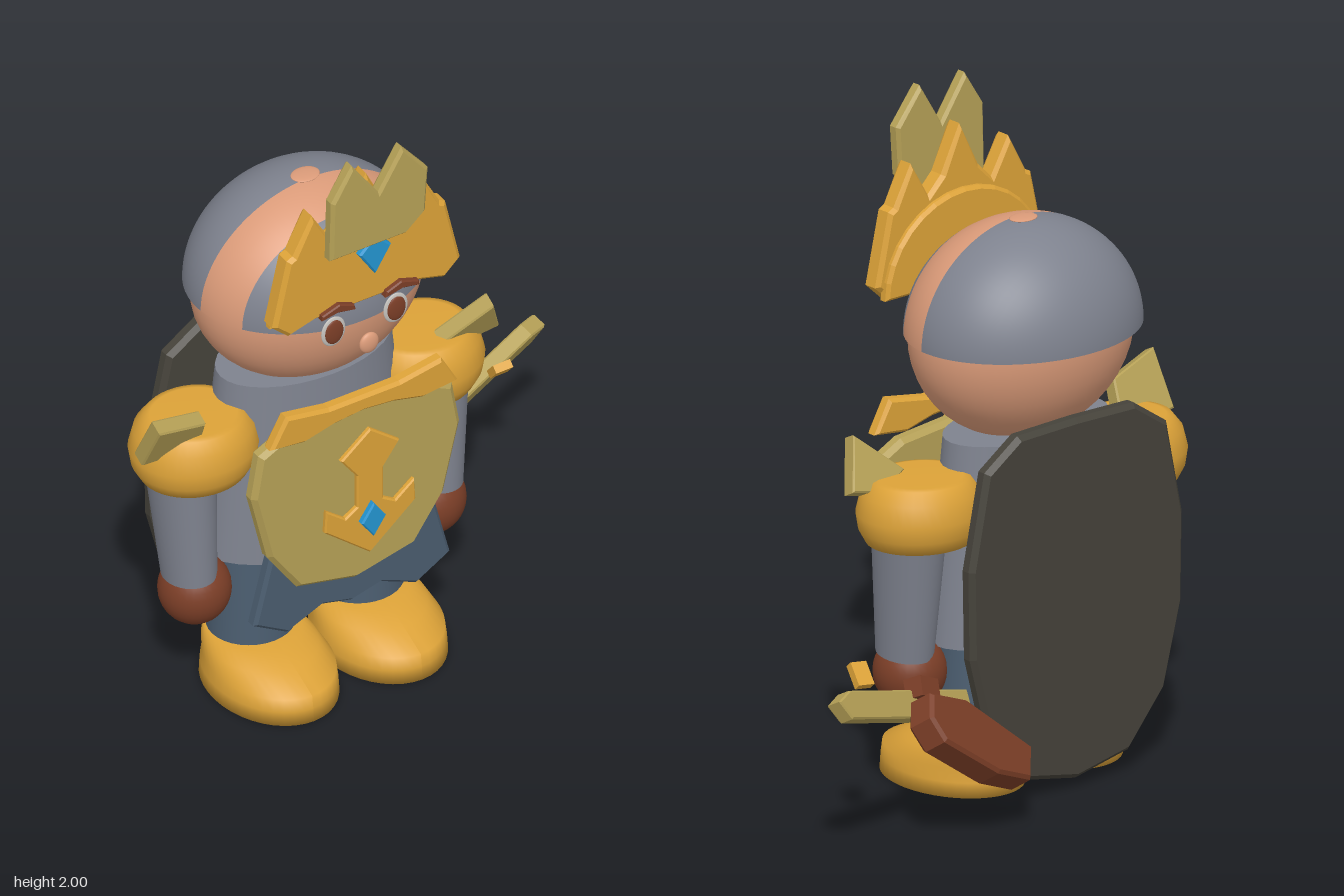
import * as THREE from 'three';

const mat = (name, color, side = THREE.FrontSide) => {
  const m = new THREE.MeshStandardMaterial({ color, side });
  m.name = name;
  return m;
};

export function createModel() {
  const gold = mat('gold', 0xdca238);
  const brass = mat('brass', 0xb5a056);
  const skin = mat('skin', 0xdb9b79);
  const steel = mat('steel', 0x7e828e);
  const slate = mat('slate', 0x4a5c6e);
  const leather = mat('leather', 0x7b3e27);
  const dark = mat('dark', 0x45423a);
  const blue = mat('blue', 0x2394d0);
  const pale = mat('pale', 0xc4c1bc);

  const model = new THREE.Group();
  model.name = 'armouredFigure';
  const body = new THREE.Group();
  body.name = 'body';
  body.position.x = -0.215;
  model.add(body);

  const add = (name, geo, material, pos = [0, 0, 0], parent = body) => {
    const m = new THREE.Mesh(geo, material);
    m.name = name;
    m.position.set(...pos);
    parent.add(m);
    return m;
  };
  const ball = (name, r, material, pos, seg = 32) =>
    add(name, new THREE.SphereGeometry(1, seg, seg / 2).scale(...r), material, pos);
  // Right half outline (top to bottom) completed by its mirror image
  const sym = (half) => [...half, ...half.filter((p) => p[0] > 0).reverse().map(([x, y]) => [-x, y])];
  // Bevelled plate filling the outline between depths z0 and z1
  const plateGeo = (pts, z0, z1, b = 0.01) => {
    const shape = new THREE.Shape(pts.map((p) => new THREE.Vector2(...p)));
    return new THREE.ExtrudeGeometry(shape, {
      depth: z1 - z0 - 2 * b, bevelEnabled: true, bevelSize: b, bevelOffset: -b, bevelThickness: b, bevelSegments: 1,
    }).translate(0, 0, z0 + b);
  };
  const plate = (name, pts, z0, z1, material, b) => add(name, plateGeo(pts, z0, z1, b), material);
  // Elliptical tapered column
  const column = (r0, r1, h, sx, sz) => new THREE.CylinderGeometry(r1, r0, h, 32).scale(sx, 1, sz);

  // Head
  ball('head', [0.365, 0.325, 0.268], skin, [0, 1.35, 0.03], 48);
  ball('nose', [0.032, 0.035, 0.014], skin, [0, 1.29, 0.36]);

  // Half-dome helmet, with a bare band running over it from side to side
  const cuts = [0, 1.028, 1.506, Math.PI];
  ['helmetFront', 'helmetBand', 'helmetBack'].forEach((name, i) => {
    const g = new THREE.SphereGeometry(1, 40, i === 1 ? 4 : 20, Math.PI, Math.PI, cuts[i], cuts[i + 1] - cuts[i]);
    g.rotateX(Math.PI / 2).scale(0.37, 0.33, 0.31);
    add(name, g, i === 1 ? skin : steel, [0, 1.35, 0.02]);
  });
  add('helmetUnderside', new THREE.CircleGeometry(1, 48).rotateX(Math.PI / 2).scale(0.37, 1, 0.31), steel, [0, 1.35, 0.02]);
  ball('crownSpot', [0.045, 0.006, 0.035], skin, [0, 1.679, 0.02]);

  // Eyes and brows
  for (const s of [1, -1]) {
    ball('eyeRim', [0.041, 0.051, 0.008], pale, [s * 0.106, 1.358, 0.336]);
    ball('iris', [0.031, 0.041, 0.008], leather, [s * 0.106, 1.358, 0.341]);
    const brow = [[0.05, 1.435], [0.055, 1.455], [0.105, 1.475], [0.165, 1.455], [0.165, 1.437], [0.11, 1.447]];
    plate('brow', brow.map(([x, y]) => [s * x, y]), 0.345, 0.372, leather, 0.004);
  }

  // Headpiece: peaked plate, arched backing, crest and gem
  plate('crown', sym([
    [0, 1.89], [0.07, 1.75], [0.12, 1.7], [0.185, 1.81], [0.25, 1.69], [0.27, 1.68], [0.32, 1.46],
    [0.265, 1.41], [0.175, 1.435], [0, 1.435],
  ]), 0.29, 0.355, gold, 0.012);
  const arch = [];
  for (let i = 0; i <= 16; i++) {
    const a = (i / 16) * Math.PI;
    arch.push([Math.cos(a) * 0.3, 1.42 + Math.sin(a) * 0.28]);
  }
  plate('crownBacking', arch, 0.27, 0.31, gold);
  plate('crest', [
    [-0.17, 1.685], [-0.165, 1.89], [-0.095, 2], [-0.005, 1.87], [0.075, 2], [0.165, 1.89], [0.155, 1.74], [0.09, 1.685],
  ], 0.38, 0.425, brass);
  plate('crownGem', [[0, 1.7], [0.055, 1.645], [0, 1.56], [-0.055, 1.645]], 0.372, 0.398, blue, 0.006);

  // Torso
  add('torso', column(1, 0.82, 0.605, 0.345, 0.2), steel, [0, 0.7575, 0.01]);

  // Chest shield
  plate('chestShield', sym([
    [0, 1.025], [0.26, 1.0], [0.33, 0.965], [0.355, 0.82], [0.3, 0.59], [0.2, 0.445], [0, 0.4],
  ]), 0.245, 0.3, brass, 0.015);
  plate('shieldTrim', sym([
    [0, 1.085], [0.12, 1.085], [0.265, 1.11], [0.32, 1.01], [0.2, 0.995], [0.1, 1.02], [0, 1.03],
  ]), 0.295, 0.34, gold);
  plate('shieldEmblem', sym([
    [0, 0.985], [0.1, 0.905], [0.045, 0.83], [0.045, 0.72], [0.085, 0.695], [0.15, 0.745], [0.155, 0.67], [0, 0.54],
  ]), 0.35, 0.37, gold, 0.005);
  plate('shieldGem', [[0, 0.73], [0.042, 0.67], [0, 0.61], [-0.042, 0.67]], 0.366, 0.39, blue, 0.005);

  // Zigzag skirt
  plate('skirt', sym([
    [0, 0.56], [0.28, 0.56], [0.335, 0.345], [0.22, 0.278], [0.1, 0.33], [0, 0.305],
  ]), 0.23, 0.275, slate);

  // Large back plate
  plate('backPlate', sym([
    [0, 1.13], [0.22, 1.125], [0.345, 1.04], [0.405, 0.75], [0.4, 0.48], [0.335, 0.23], [0.2, 0.07], [0, 0.03],
  ]), -0.222, -0.167, dark, 0.015);

  // Boot: round sole, upper pulled back so the toe slopes
  const boot = new THREE.LatheGeometry(
    [[0, 0], [1, 0], [0.985, 0.045], [0.96, 0.085], [0.87, 0.125], [0.74, 0.155], [0, 0.155]]
      .map((p) => new THREE.Vector2(...p)), 40);
  const bp = boot.attributes.position;
  for (let i = 0; i < bp.count; i++) {
    const y = bp.getY(i);
    const t = Math.max(0, (y - 0.085) / 0.07);
    bp.setXYZ(i, bp.getX(i) * 0.185, y, bp.getZ(i) * (0.24 - 0.04 * t) + 0.117 - 0.085 * t);
  }
  boot.computeVertexNormals();

  // Limbs
  const pauldron = new THREE.LatheGeometry(
    [[0, 0.79], [0.165, 0.79], [0.187, 0.83], [0.195, 0.88], [0.18, 0.94], [0.15, 0.978], [0.13, 0.982], [0, 0.982]]
      .map((p) => new THREE.Vector2(...p)), 40).scale(1, 1, 0.9);
  for (const s of [1, -1]) {
    add('leg', column(0.135, 0.105, 0.36, 1, 0.95), slate, [s * 0.185, 0.3, 0.02]);
    add('boot', boot, gold, [s * 0.185, 0, 0]);
    const arm = add('arm', column(0.077, 0.1, 0.4, 1, 1.22), steel, [s * 0.425, 0.64, 0.04]);
    arm.rotation.set(-0.08, 0, s * -0.03);
    ball('hand', [0.108, 0.112, 0.107], leather, [s * 0.4, 0.382, 0.056]);
    add('pauldron', pauldron, gold, [s * 0.385, 0, 0.027]);
  }

  // Shoulder spikes leaning forward
  const spikes = [
    [[-0.6, 0.1], [-0.425, 0.045], [-0.41, -0.06], [-0.49, -0.1], [-0.605, -0.085]],
    [[0.54, 0.1], [0.605, -0.06], [0.49, -0.085], [0.4, -0.035]],
  ];
  for (const pts of spikes) {
    const spike = add('shoulderSpike', plateGeo(pts, -0.025, 0.025, 0.005), brass, [0, 1.01, 0.115]);
    spike.rotation.x = 0.48;
  }

  // Weapon lying behind the figure; each part is aimed along its own axis
  const weapon = new THREE.Group();
  weapon.name = 'weapon';
  model.add(weapon);
  const aim = (mesh, along, facing) => {
    const a = new THREE.Vector3(...along).normalize();
    const w = new THREE.Vector3(...facing).cross(a).normalize();
    mesh.quaternion.setFromRotationMatrix(new THREE.Matrix4().makeBasis(a, w, a.clone().cross(w)));
  };
  const blade = add('blade', plateGeo(
    [[0, -0.043], [0.6, -0.043], [0.665, -0.01], [0.62, 0.043], [0, 0.043]], -0.025, 0.025, 0.005),
  brass, [0.18, 0.335, -0.178], weapon);
  aim(blade, [0.63, 0.185, -0.15], [0, 0.5, -0.8]);
  const grip = add('scabbard', plateGeo(
    [[-0.235, -0.05], [-0.21, 0.07], [-0.06, 0.105], [0.18, 0.09], [0.235, 0.03], [0.22, -0.06], [0.05, -0.1]],
    -0.045, 0.045), leather, [0.285, 0.295, -0.33], weapon);
  aim(grip, [0.84, 0.54, 0], [-0.35, 0.55, -0.75]);
  const guard = add('guard', new THREE.BoxGeometry(0.09, 0.06, 0.06), leather, [0.39, 0.45, -0.235], weapon);
  aim(guard, [0.8, 0.35, -0.15], [0, 0.5, -0.8]);
  const stud = add('stud', new THREE.BoxGeometry(0.055, 0.075, 0.025), gold, [0.58, 0.525, -0.185], weapon);
  stud.rotation.set(0.75, 0, 0.15);

  return model;
}
